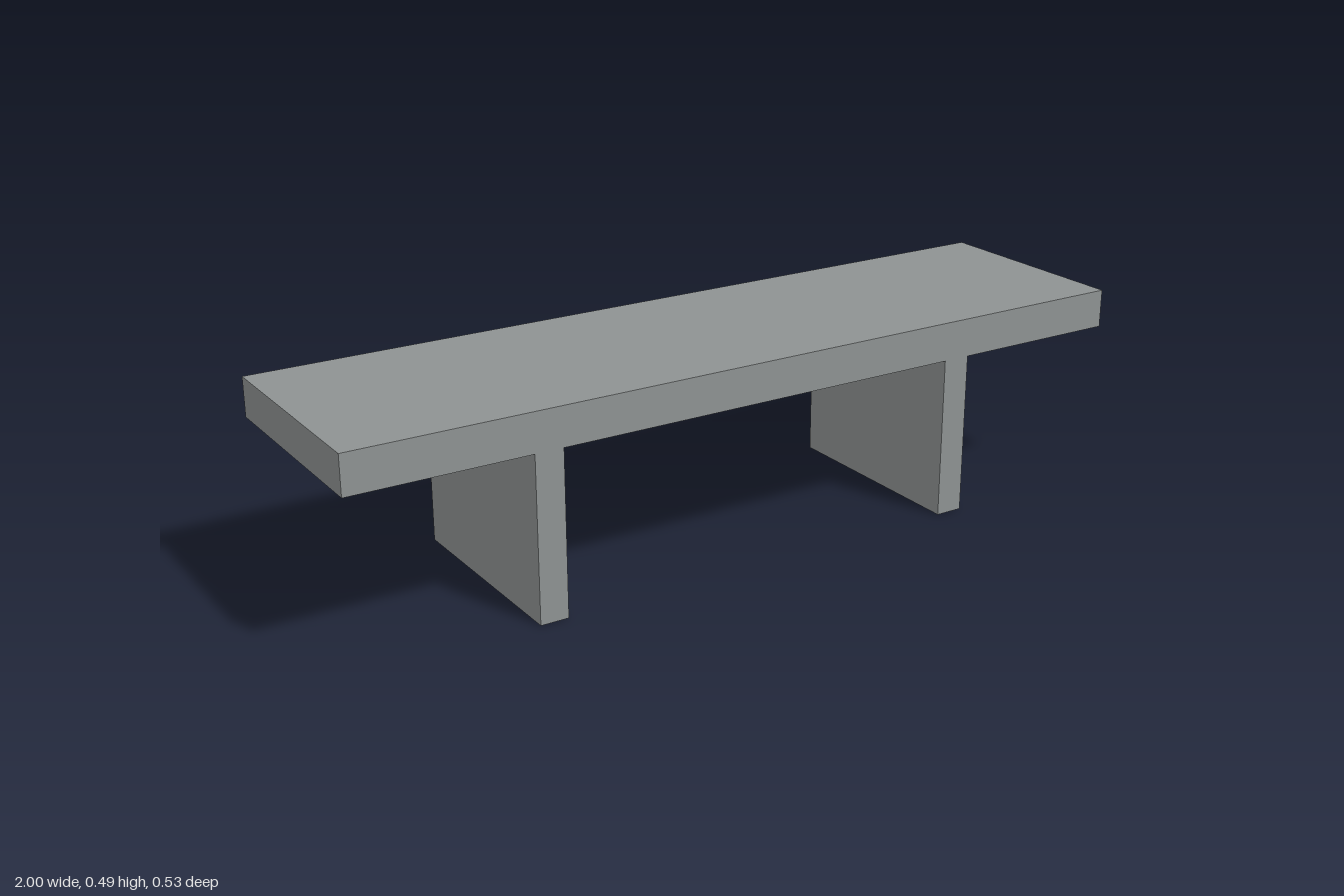
import * as THREE from 'three';

const HEIGHT = 0.486, LEG_HEIGHT = 0.393;

export function createModel() {
  const bench = new THREE.Group();
  bench.name = 'bench';
  const stone = new THREE.MeshStandardMaterial({ color: 0x8e9292 });
  stone.name = 'grey stone';

  // Box standing on the given base height
  const slab = (name, w, h, d, x, base) => {
    const mesh = new THREE.Mesh(new THREE.BoxGeometry(w, h, d), stone);
    mesh.name = name;
    mesh.position.set(x, base + h / 2, 0);
    bench.add(mesh);
  };

  // Seat slab
  slab('seat', 2, HEIGHT - LEG_HEIGHT, 0.53, 0, LEG_HEIGHT);

  // Two upright slab legs, set in slightly from the seat edges
  for (const [name, side] of [['leftLeg', 1], ['rightLeg', -1]]) {
    slab(name, 0.068, LEG_HEIGHT, 0.527, side * 0.543, 0);
  }

  return bench;
}
